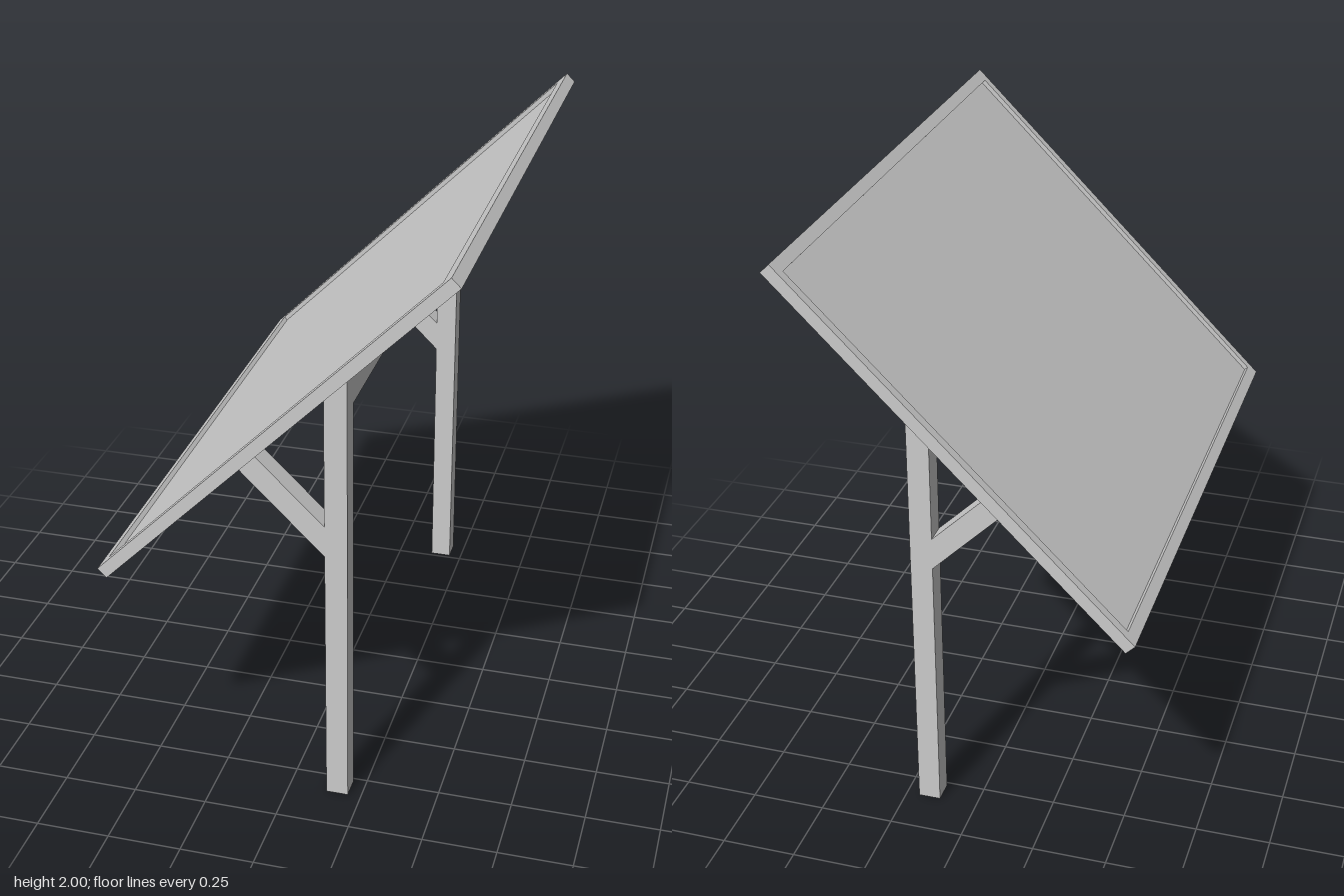
import * as THREE from 'three';

export function createModel() {
  const model = new THREE.Group();
  const material = new THREE.MeshStandardMaterial({ color: 0xcccccc, flatShading: true });
  const thinMaterial = new THREE.MeshStandardMaterial({ color: 0xcccccc, flatShading: true, side: THREE.DoubleSide });

  const add = (parent, name, geometry, mat = material) => {
    const mesh = new THREE.Mesh(geometry, mat);
    mesh.name = name;
    parent.add(mesh);
    return mesh;
  };
  const shapeOf = (points) => new THREE.Shape(points.map(([x, y]) => new THREE.Vector2(x, y)));
  const extrude = (shape, depth) => new THREE.ExtrudeGeometry(shape, { depth, bevelEnabled: false });
  const rectangle = (x, y) => [[-x, -y], [x, -y], [x, y], [-x, y]];

  // Tilted panel: backing board with a raised rim around its upper face
  const length = 1.6, width = 2, thickness = 0.042, recess = 0.016;
  const panel = new THREE.Group();
  panel.name = 'panel';
  panel.position.set(0, 1.4195, 0);
  panel.rotation.z = Math.PI / 4;
  model.add(panel);

  const board = add(panel, 'panelBoard', new THREE.BoxGeometry(length, thickness - recess, width));
  board.position.y = -recess / 2;

  const rimShape = shapeOf(rectangle(length / 2, width / 2));
  rimShape.holes.push(shapeOf(rectangle(length / 2 - 0.043, width / 2 - 0.032)));
  const rim = add(panel, 'panelRim', extrude(rimShape, recess).rotateX(-Math.PI / 2));
  rim.position.y = thickness / 2 - recess;

  // Height of the panel's underside at a given x
  const underside = (x) => x + 1.39;
  const back = 0.13, front = 0.205, post = 0.075, outer = 0.84;

  // Posts with slanted tops and diagonal braces, one pair on each side
  const postShape = shapeOf([[back, 0], [front, 0], [front, underside(front)], [back, underside(back)]]);
  const braceShape = shapeOf([[back, 0.93], [back, 1.04], [-0.113, underside(-0.113)], [-0.167, underside(-0.167)]]);
  for (const [side, z] of [['left', outer - post], ['right', -outer]]) {
    add(model, `${side}Post`, extrude(postShape, post)).position.z = z;
    add(model, `${side}Brace`, extrude(braceShape, post)).position.z = z;
  }

  // Thin cross board joining the post tops, flush with their outer face
  const bottom = 1.45, top = underside(front);
  const crossBoard = add(model, 'crossBoard',
    new THREE.PlaneGeometry(2 * (outer - post), top - bottom).rotateY(Math.PI / 2), thinMaterial);
  crossBoard.position.set(front, (top + bottom) / 2, 0);

  return model;
}
